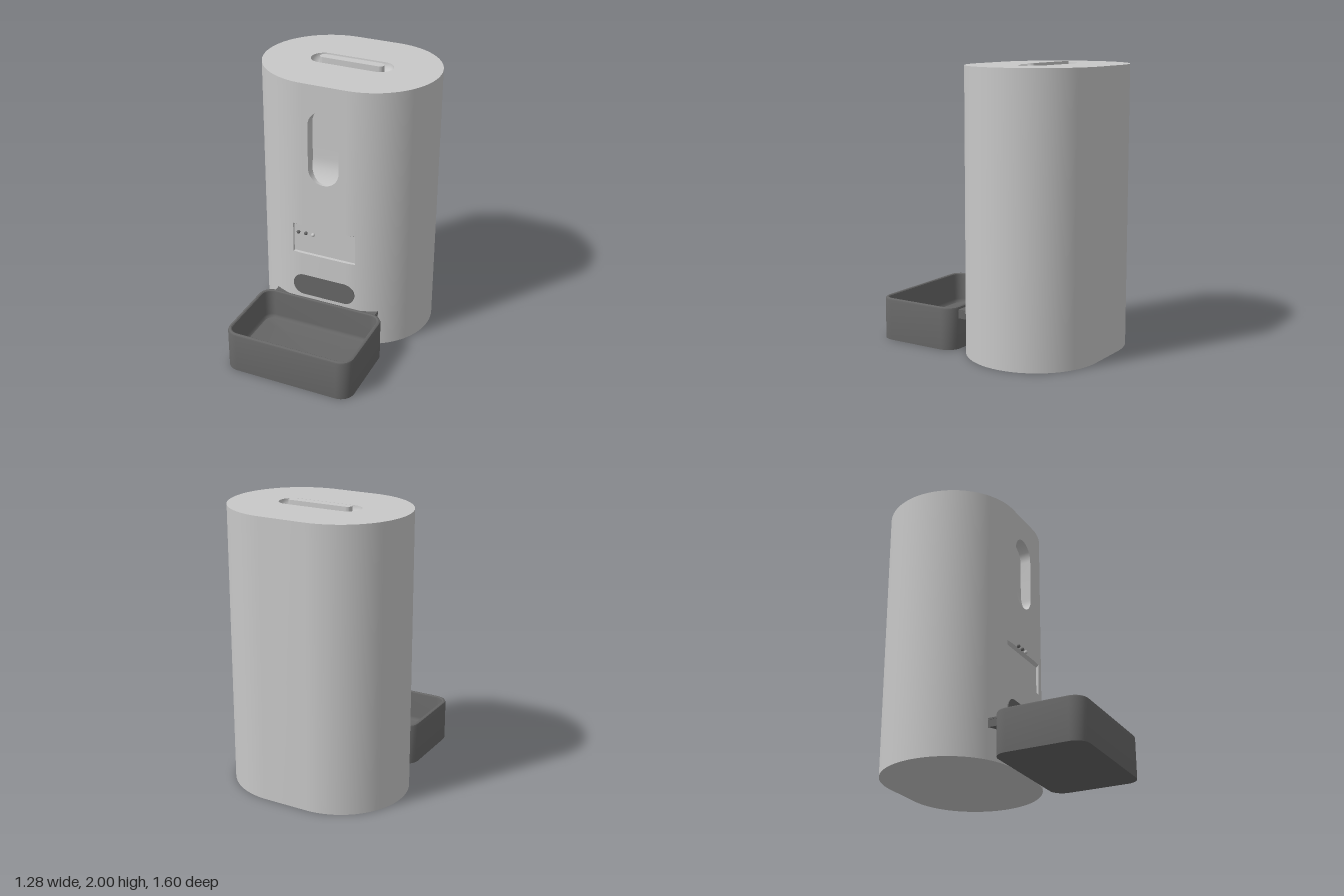
import * as THREE from 'three';
import { mergeGeometries, toCreasedNormals } from 'three/addons/utils/BufferGeometryUtils.js';

const H = 1.985, CZ = -0.32, FRONT = 0.16, R = 0.48, FLAT = 0.16;

// Skin between rows of [x, y, z] points, skipping collapsed triangles
function loft(rows, closed = false) {
  const pos = [], n = rows[0].length;
  const v = p => new THREE.Vector3(...p);
  const tri = (a, b, c) => {
    const area = v(b).sub(v(a)).cross(v(c).sub(v(a))).length();
    if (area > 1e-9) pos.push(...a, ...b, ...c);
  };
  for (let i = 0; i + 1 < rows.length; i++) {
    for (let j = 0; j < (closed ? n : n - 1); j++) {
      const k = (j + 1) % n, a = rows[i], b = rows[i + 1];
      tri(a[j], a[k], b[k]);
      tri(a[j], b[k], b[j]);
    }
  }
  const g = new THREE.BufferGeometry();
  g.setAttribute('position', new THREE.Float32BufferAttribute(pos, 3));
  return g;
}

const smooth = (...geos) => toCreasedNormals(mergeGeometries(geos), 0.6);

// Rounded rectangle in plan, as [x, z] points
function roundRect(hx, hz, r, cz, steps = 16) {
  const pts = [];
  for (let q = 0; q < 4; q++) {
    const cx = (q < 2 ? 1 : -1) * (hx - r), cc = (q === 0 || q === 3 ? 1 : -1) * (hz - r);
    for (let i = 0; i <= steps; i++) {
      const t = (q + i / steps) * Math.PI / 2;
      pts.push([cx + r * Math.sin(t), cz + cc + r * Math.cos(t)]);
    }
  }
  return pts;
}

const at = (pts, y) => pts.map(([x, z]) => [x, y, z]);
const wall = (pts, ...ys) => loft(ys.map(y => at(pts, y)));

// Flat face with holes, reduced to bare positions
function face(outline, holes = []) {
  const vec = l => l.map(p => new THREE.Vector2(...p));
  const shape = new THREE.Shape(vec(outline));
  shape.holes = holes.map(h => new THREE.Path(vec(h)));
  const g = new THREE.ShapeGeometry(shape).toNonIndexed();
  g.deleteAttribute('uv');
  g.deleteAttribute('normal');
  return g;
}

export function createModel() {
  const group = new THREE.Group();
  const shellGrey = new THREE.MeshStandardMaterial({ color: 0xc8c8c8 });
  shellGrey.name = 'shell grey';
  const darkGrey = new THREE.MeshStandardMaterial({ color: 0x666666 });
  darkGrey.name = 'dark grey';
  const add = (name, geo, mat, x = 0, y = 0, z = 0) => {
    const m = new THREE.Mesh(geo, mat);
    m.name = name;
    m.position.set(x, y, z);
    group.add(m);
    return m;
  };

  // Body wall: plan outline split where the control panel is cut in
  const t0 = Math.asin(0.08 / R);
  const arc = (from, to, n) => Array.from({ length: n + 1 }, (_, i) => {
    const t = from + (to - from) * i / n;
    return [FLAT + R * Math.sin(t), CZ + R * Math.cos(t)];
  });
  const mirror = pts => pts.map(([x, z]) => [-x, z]).reverse();
  const frontArc = arc(0, t0, 3), sideArc = arc(t0, Math.PI, 40);
  const around = [...sideArc, ...mirror(sideArc)];
  const front = [...mirror(frontArc), ...frontArc];
  const P0 = 0.67, P1 = 0.9;

  // Window recess sections: straight back that scoops forward at the bottom
  const W = 0.115, winRows = [], left = [], right = [];
  const section = (y, w) => {
    const s = Math.max(0, (1.42 - y) / 0.17);
    const zb = FRONT - 0.08 + 0.06 * s * s;
    winRows.push([[-w, y, FRONT], [-w, y, zb], [w, y, zb], [w, y, FRONT]]);
    right.push([w, y]);
    if (w > 1e-6) left.unshift([-w, y]);
  };
  for (let i = 0; i <= 12; i++) {
    const t = i / 12 * Math.PI / 2;
    section(1.25 + W - W * Math.cos(t), W * Math.sin(t));
  }
  for (const y of [1.39, 1.42, 1.5]) section(y, W);
  for (let i = 0; i <= 12; i++) {
    const t = i / 12 * Math.PI / 2;
    section(1.8 - W + W * Math.sin(t), i === 12 ? 0 : W * Math.cos(t));
  }

  const frontFace = face([[-FLAT, P1], [FLAT, P1], [FLAT, H], [-FLAT, H]], [[...right, ...left]]);
  frontFace.translate(0, 0, FRONT);
  add('bodyWall', smooth(
    wall(around, 0, P0, P1, H), wall(front, 0, P0),
    wall(frontArc, P1, H), wall(mirror(frontArc), P1, H), frontFace), shellGrey);
  add('windowRecess', smooth(loft(winRows)), shellGrey);

  // Control panel recess with closed ends
  const panelRows = [...front].reverse().map(([x, z]) =>
    [[x, P0, z], [x, P0, 0.135], [x, 0.885, 0.135], [x, P1, z]]);
  const endCap = row => row.map(() => [row[0][0], 0.785, row[0][2]]);
  add('controlPanelRecess', smooth(loft([
    endCap(panelRows[0]), ...panelRows, endCap(panelRows[panelRows.length - 1])])), shellGrey);

  // Body bottom and lid top
  const plan = [...front, ...around];
  add('bodyBottom', smooth(face(plan).rotateX(Math.PI / 2)), shellGrey);
  const dishRim = roundRect(0.305, 0.095, 0.095, CZ, 12);
  const flip = pts => pts.map(([x, z]) => [x, -z]);
  const lid = face(flip(plan), [flip(dishRim)]).rotateX(-Math.PI / 2);
  add('lidTop', smooth(lid.translate(0, H, 0)), shellGrey);

  // Scooped dish in the lid and the grip inside it
  const dishRows = [];
  for (let i = 0; i <= 10; i++) {
    const t = i / 10 * Math.PI / 2, r = 0.095 * Math.cos(t);
    dishRows.push(at(roundRect(0.21 + r, r, r, CZ, 12), H - 0.075 * Math.sin(t)));
  }
  add('lidDish', smooth(loft(dishRows, true)), shellGrey);
  const grip = roundRect(0.24, 0.032, 0.032, CZ, 8);
  add('lidGrip', smooth(loft([
    at(grip, 1.91), at(grip, 2), at(roundRect(0.208, 0, 0, CZ, 8), 2)], true)), shellGrey);

  // Indicator lights
  [-0.173, -0.115, -0.06].forEach((x, i) =>
    add('indicatorLight', new THREE.SphereGeometry(0.013, 16, 12), i < 2 ? darkGrey : shellGrey, x, 0.87, 0.205));

  // Food outlet: thin dark plate
  const outlet = new THREE.ExtrudeGeometry(
    new THREE.Shape(roundRect(0.24, 0.0825, 0.0825, 0).map(p => new THREE.Vector2(...p))),
    { depth: 0.009, bevelEnabled: false });
  add('foodOutlet', outlet, darkGrey, 0, 0.407, 0.1525);

  // Bowl: [inset, height] profile up the outside, over the rim and down inside
  const profile = [[0, 0], [0, 0.29], [0.004, 0.3], [0.012, 0.305], [0.02, 0.305], [0.027, 0.3],
    [0.03, 0.29], [0.03, 0.1], [0.034, 0.083], [0.044, 0.073], [0.06, 0.07]];
  const bowlRow = ([inset, y]) =>
    at(roundRect(0.48 - inset, 0.32 - inset, 0.1 - inset, 0.48, 8), y);
  const centre = y => at(roundRect(0, 0, 0, 0.48, 8), y);
  add('bowl', smooth(loft([centre(0), ...profile.map(bowlRow), centre(0.07)], true)), darkGrey);

  // Bracket joining bowl and body
  add('bowlBracket', new THREE.BoxGeometry(0.8, 0.04, 0.1), darkGrey, 0, 0.253, 0.125);
  for (const y of [0.228, 0.28])
    add('bracketFlange', new THREE.BoxGeometry(0.8, 0.012, 0.1), darkGrey, 0, y, 0.13);

  return group;
}
